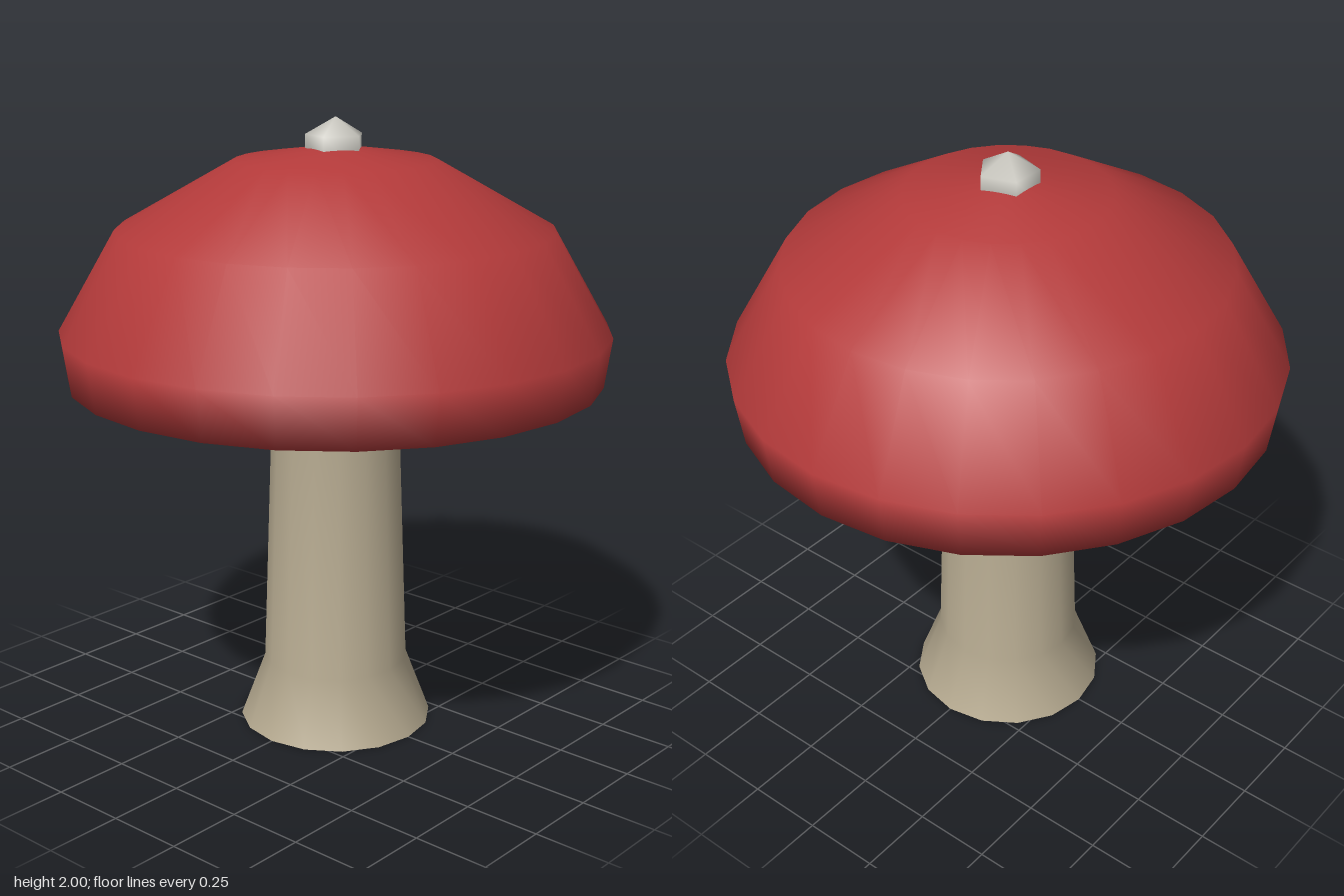
import * as THREE from 'three';

const material = (color, side = THREE.FrontSide) => {
  const m = new THREE.MeshStandardMaterial({ side });
  m.color.set(color);
  return m;
};

// Turns a profile of [radius, height] pairs around the y axis
function turned(name, profile, segments, mat) {
  const points = profile.map(([r, y]) => new THREE.Vector2(r, y));
  const mesh = new THREE.Mesh(new THREE.LatheGeometry(points, segments), mat);
  mesh.name = name;
  return mesh;
}

export function createModel() {
  const group = new THREE.Group();
  group.name = 'mushroom';

  // Open tube with a flared foot and collar
  group.add(turned('stem',
    [[0.318, 0], [0.237, 0.215], [0.207, 1.06], [0.25, 1.16]],
    16, material(0xb8ac92, THREE.DoubleSide)));

  // Faceted dome with a shallow conical underside
  group.add(turned('cap',
    [[0, 1.13], [0.2, 1.138], [0.855, 1.175], [0.878, 1.335], [0.693, 1.655], [0.318, 1.868], [0, 1.915]],
    24, material(0xb33a3a)));

  // Small five-sided knob, half sunk into the cap, with a corner towards +x
  const knob = new THREE.Mesh(new THREE.SphereGeometry(0.11, 5, 3), material(0xcccac2));
  knob.name = 'knob';
  knob.position.y = 1.89;
  knob.rotation.y = Math.PI;
  group.add(knob);

  return group;
}
